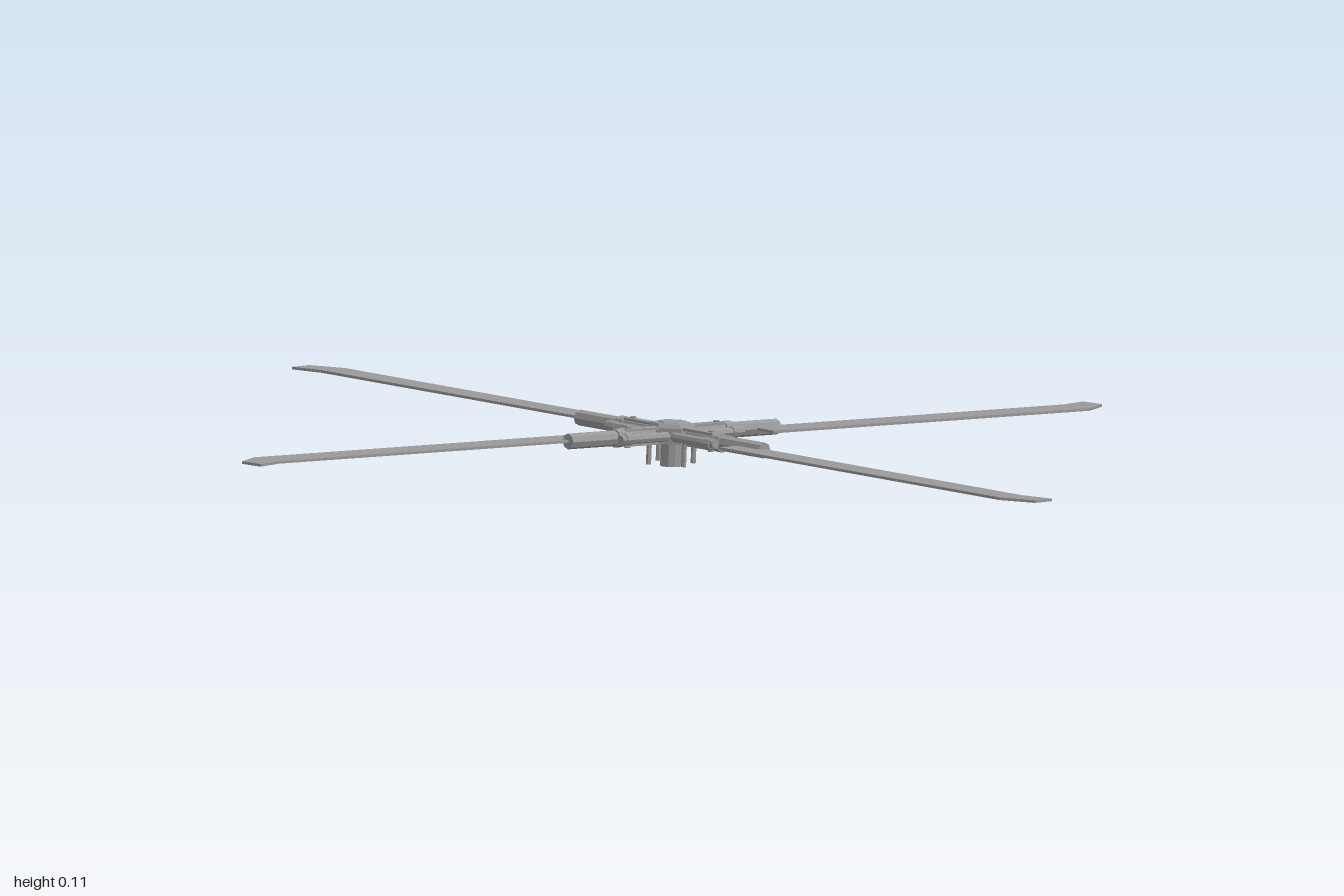
import * as THREE from 'three';

const metal = new THREE.MeshStandardMaterial({ color: 0x999999, flatShading: true });
const thin = new THREE.MeshStandardMaterial({ color: 0x999999, side: THREE.DoubleSide });

function part(name, geometry, parent, x = 0, y = 0, z = 0, material = metal) {
  const mesh = new THREE.Mesh(geometry, material);
  mesh.name = name;
  mesh.position.set(x, y, z);
  parent.add(mesh);
  return mesh;
}

// Cylinder lying along x from x0 to x1
function rod(name, radius, x0, x1, parent, y = 0, z = 0, sides = 8) {
  const geometry = new THREE.CylinderGeometry(radius, radius, x1 - x0, sides).rotateZ(Math.PI / 2);
  return part(name, geometry, parent, (x0 + x1) / 2, y, z);
}

// Flat blade outline: x runs outward, y runs across towards the leading edge
function bladeGeometry() {
  const outline = [[0.2, -0.06], [0.99, -0.061], [1.052, -0.026], [1.046, 0.021], [0.984, 0.002], [0.2, 0.002]];
  const shape = new THREE.Shape(outline.map(([x, y]) => new THREE.Vector2(x, y)));
  return new THREE.ExtrudeGeometry(shape, { depth: 0.005, bevelEnabled: false })
    .translate(0, 0, -0.0025)
    .rotateX(-Math.PI / 2);
}

// One arm pointing along +x
function makeArm(blade) {
  const arm = new THREE.Group();
  arm.name = 'rotorArm';
  part('blade', blade, arm, 0, 0, 0, thin);
  rod('bladeGrip', 0.015, 0.05, 0.26, arm);
  rod('gripCollar', 0.018, 0.125, 0.145, arm);
  // Fork plates above and below the grip, damper rods on both sides
  for (const side of [-1, 1]) {
    part('forkPlate', new THREE.BoxGeometry(0.09, 0.005, 0.02), arm, 0.08, side * 0.014, 0);
    rod('damper', 0.009, 0.035, 0.152, arm, 0, side * 0.026);
    rod('damperCap', 0.011, 0.125, 0.142, arm, 0, side * 0.026);
  }
  part('forkBridge', new THREE.BoxGeometry(0.014, 0.014, 0.062), arm, 0.1, 0, 0);
  part('forkBolt', new THREE.CylinderGeometry(0.006, 0.006, 0.04, 6), arm, 0.11, 0, 0);
  // Vertical pitch link below the hub
  part('pitchLink', new THREE.CylinderGeometry(0.005, 0.005, 0.056, 6), arm, 0.047, -0.028, 0.01);
  return arm;
}

export function createModel() {
  const model = new THREE.Group();
  model.name = 'rotor';

  // Whole rotor disc leans slightly to one side
  const rotor = new THREE.Group();
  rotor.name = 'tiltedRotor';
  rotor.position.y = 0.061;
  rotor.rotation.z = -0.042;
  model.add(rotor);

  // Central mast and hub
  part('mast', new THREE.CylinderGeometry(0.02, 0.02, 0.07, 10), rotor, 0, -0.025, 0);
  part('hub', new THREE.CylinderGeometry(0.045, 0.045, 0.03, 6), rotor);
  part('hubCap', new THREE.CylinderGeometry(0.04, 0.045, 0.008, 6), rotor, 0, 0.018, 0);
  part('hubNut', new THREE.CylinderGeometry(0.026, 0.03, 0.004, 6), rotor, 0, 0.023, 0);

  // Four arms, a quarter turn apart
  const blade = bladeGeometry();
  for (let i = 0; i < 4; i++) {
    const arm = makeArm(blade);
    arm.rotation.y = THREE.MathUtils.degToRad(20 + i * 90);
    rotor.add(arm);
  }
  return model;
}
